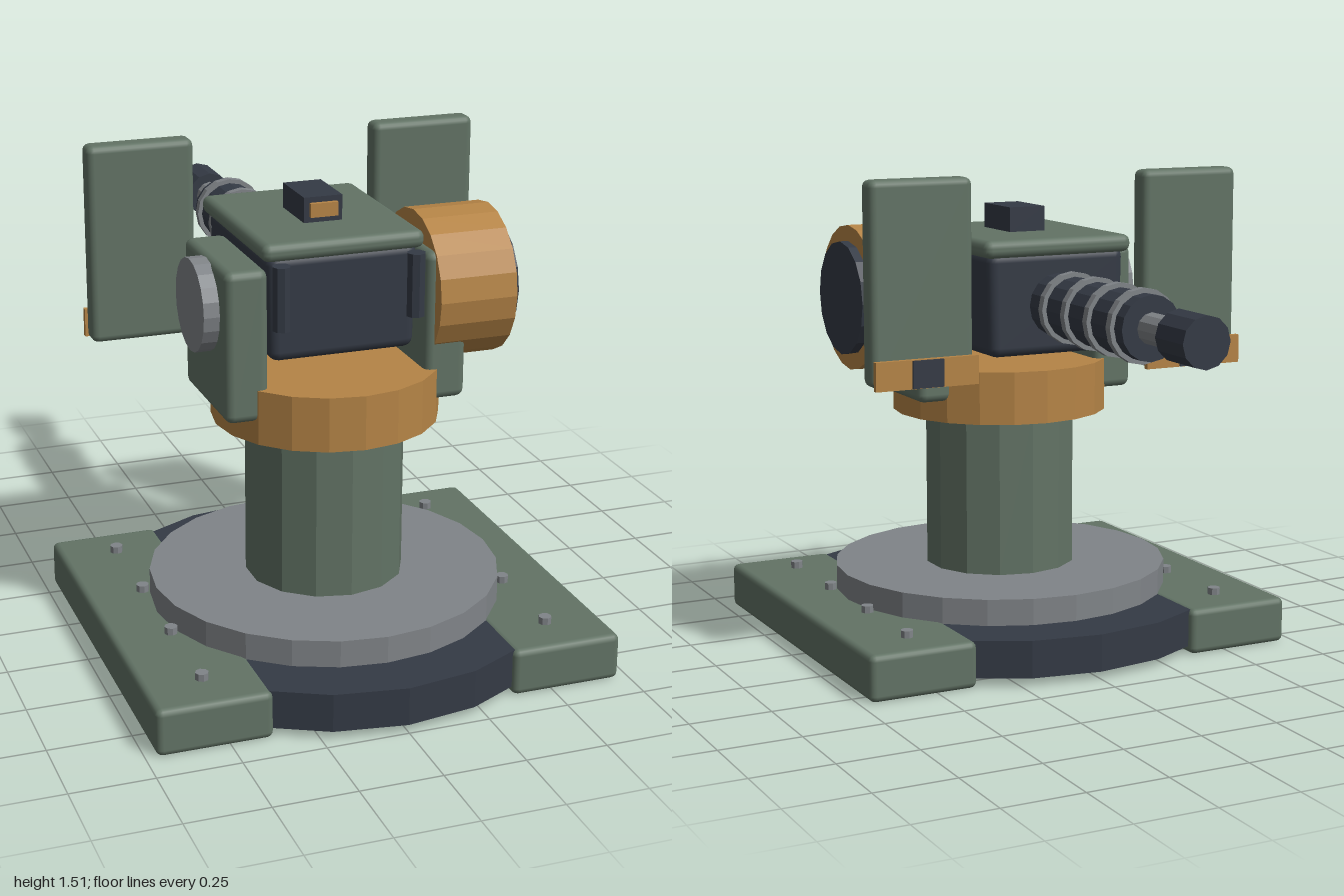
import * as THREE from 'three';
import { RoundedBoxGeometry } from 'three/addons/geometries/RoundedBoxGeometry.js';

function paint(name, color) {
  const m = new THREE.MeshStandardMaterial({ color });
  m.name = name;
  return m;
}

export function createModel() {
  const green = paint('olive green', 0x627365);
  const dark = paint('dark slate', 0x343a45);
  const orange = paint('ochre', 0xb58446);
  const grey = paint('steel grey', 0x808488);

  const model = new THREE.Group();
  model.name = 'turret';

  function add(name, geometry, material) {
    const mesh = new THREE.Mesh(geometry, material);
    mesh.name = name;
    model.add(mesh);
    return mesh;
  }

  // Boxes are given by their min and max corners; r rounds the edges
  function box(name, material, [x0, y0, z0], [x1, y1, z1], r = 0) {
    const w = x1 - x0, h = y1 - y0, d = z1 - z0;
    const geo = r ? new RoundedBoxGeometry(w, h, d, 2, r) : new THREE.BoxGeometry(w, h, d);
    const mesh = add(name, geo, material);
    mesh.position.set((x0 + x1) / 2, (y0 + y1) / 2, (z0 + z1) / 2);
    return mesh;
  }

  // Faceted cylinder running from a to b along one axis, through point (x, y, z)
  function cyl(name, material, axis, radius, a, b, at, sides) {
    const base = new THREE.CylinderGeometry(radius, radius, Math.abs(b - a), sides);
    if (axis === 'x') base.rotateZ(-Math.PI / 2);
    if (axis === 'z') base.rotateX(Math.PI / 2);
    const geo = base.toNonIndexed();
    geo.computeVertexNormals();
    const mesh = add(name, geo, material);
    mesh.position.set(...at);
    mesh.position[axis] = (a + b) / 2;
    return mesh;
  }

  const cz = 0.29;   // pedestal axis
  const gunY = 1.12; // elevation axis

  // Base
  cyl('baseDisc', dark, 'y', 0.707, 0.03, 0.147, [0, 0, cz], 20);
  cyl('turntable', grey, 'y', 0.54, 0.147, 0.23, [0, 0, cz], 24);
  for (const s of [-1, 1]) {
    const rail = box('baseRail', green, [-0.173, 0.005, -0.325], [0.173, 0.15, 0.9], 0.02);
    rail.position.x = s * 0.545;
    for (const z of [-0.18, 0.13, 0.44, 0.75]) {
      cyl('bolt', grey, 'y', 0.02, 0.145, 0.172, [s * 0.54, 0, z], 8);
    }
  }

  // Pedestal
  cyl('column', green, 'y', 0.243, 0.23, 0.74, [0, 0, cz], 14);
  cyl('collar', orange, 'y', 0.345, 0.737, 0.903, [0, 0, cz], 20);

  // Yoke arms and their side drums
  for (const s of [-1, 1]) {
    const arm = box('yokeArm', green, [-0.065, 0.805, 0.083], [0.065, 1.263, 0.49], 0.025);
    arm.position.x = s * 0.309;
  }
  cyl('sideDrum', orange, 'x', 0.228, 0.27, 0.512, [0, gunY, 0.31], 20);
  cyl('drumCap', dark, 'x', 0.178, 0.51, 0.54, [0, gunY, 0.31], 16);
  cyl('pivotCap', grey, 'x', 0.14, -0.422, -0.37, [0, gunY, 0.295], 20);

  // Head, slightly narrower towards the bottom
  const head = box('headBody', dark, [-0.235, 0.965, -0.125], [0.235, 1.285, 0.45], 0.03);
  const p = head.geometry.attributes.position;
  for (let i = 0; i < p.count; i++) {
    p.setX(i, p.getX(i) * (0.97 + 0.1 * p.getY(i)));
  }
  box('headLid', green, [-0.25, 1.27, -0.14], [0.25, 1.325, 0.46], 0.024);
  for (const s of [-1, 1]) {
    cyl('frontPost', dark, 'y', 0.028, 1.08, 1.272, [s * 0.207, 0, 0.492], 8);
  }

  // Sight
  box('sightHousing', dark, [-0.06, 1.32, 0.085], [0.06, 1.402, 0.27]);
  box('sightLens', orange, [-0.043, 1.343, 0.268], [0.043, 1.385, 0.285]);

  // Barrel pointing to the back
  cyl('barrelSleeve', dark, 'z', 0.097, -0.7, -0.1, [0, gunY, 0], 16);
  for (let i = 0; i < 4; i++) {
    const z = -0.222 - 0.14 * i;
    cyl('barrelRing', grey, 'z', 0.111, z - 0.013, z + 0.013, [0, gunY, 0], 16);
  }
  cyl('barrel', grey, 'z', 0.047, -0.86, -0.69, [0, gunY, 0], 12);
  cyl('muzzle', dark, 'z', 0.076, -1, -0.85, [0, gunY, 0], 12);

  // Rear shield panels with marker strips
  for (const s of [-1, 1]) {
    const x = s * 0.458;
    box('shieldPanel', green, [x - 0.166, 0.905, -0.141], [x + 0.166, 1.52, -0.063], 0.022);
    box('shieldStrip', orange, [x - 0.167, 0.902, -0.17], [x + 0.167, 0.99, -0.152]);
    box('stripMarker', dark, [x - 0.05, 0.904, -0.177], [x + 0.05, 0.988, -0.169]);
  }

  return model;
}
